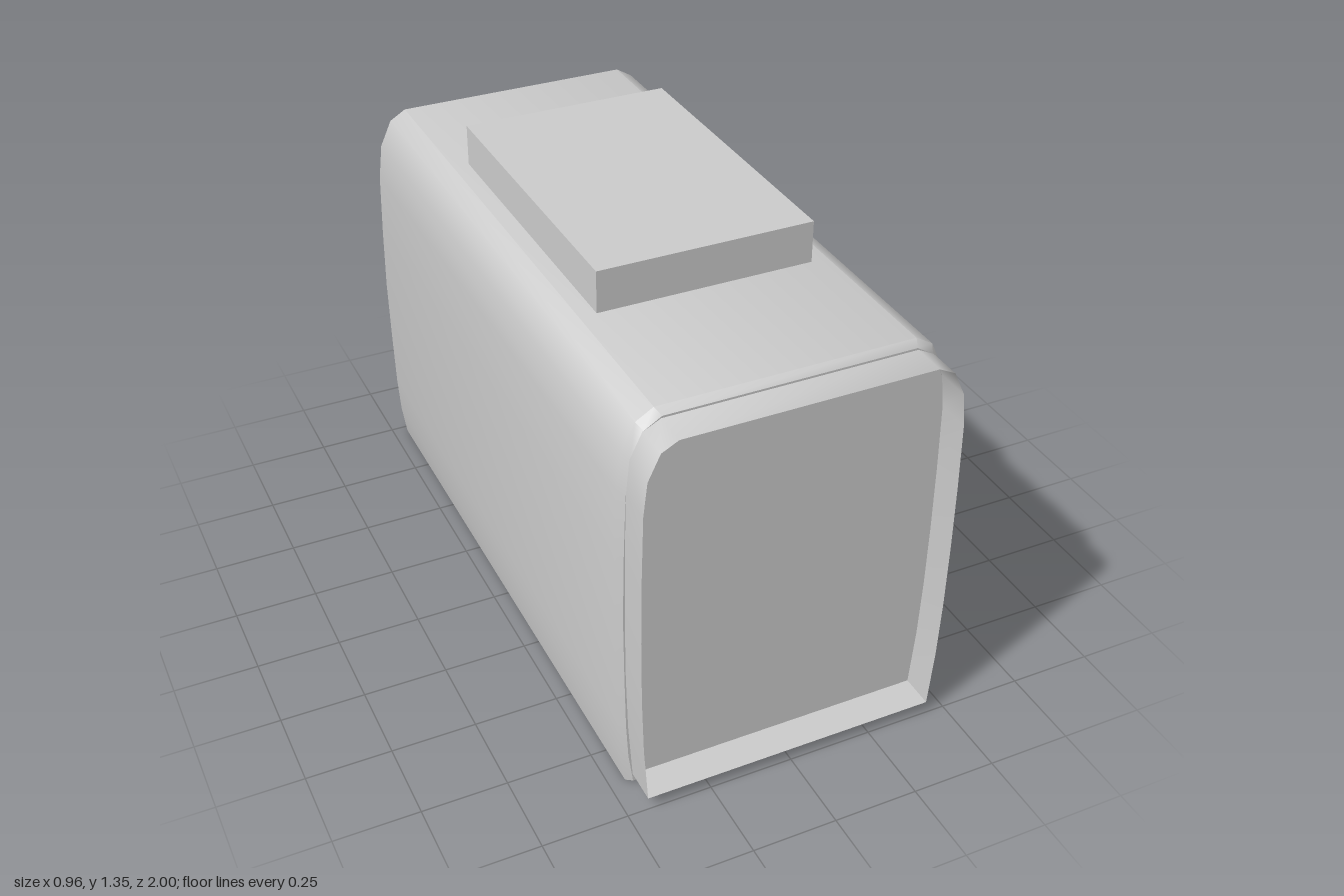
import * as THREE from 'three';
import { toCreasedNormals } from 'three/addons/utils/BufferGeometryUtils.js';

// Right half of each cross-section, bottom to top, as [half width, height]
const bodyHalf = [[0.452, 0], [0.466, 0.1], [0.473, 0.22], [0.477, 0.4], [0.48, 0.6], [0.477, 0.8],
  [0.471, 1.0], [0.457, 1.11], [0.42, 1.19], [0.37, 1.22]];
const rimHalf = [[0.44, 0.04], [0.453, 0.22], [0.459, 0.4], [0.461, 0.6], [0.46, 0.8],
  [0.456, 1.0], [0.445, 1.1], [0.41, 1.175], [0.362, 1.2]];

// Mirror a half section into a closed loop, anticlockwise from the front
const loop = half => [...half, ...half.map(([x, y]) => [-x, y]).reverse()];

// Shrink a section a little towards its middle
const inset = (half, d) => half.map(([x, y]) =>
  [x * (1 - d / 0.48), 0.61 + (y - 0.61) * (1 - d / 0.61)]);

// Skin a row of [section, z] rings from back to front, with optional flat ends
function loft(rings, capped) {
  const pos = [], idx = [], n = rings[0][0].length;
  rings.forEach(([pts, z]) => pts.forEach(([x, y]) => pos.push(x, y, z)));
  for (let r = 0; r < rings.length - 1; r++) {
    for (let i = 0; i < n; i++) {
      const a = r * n + i, b = r * n + (i + 1) % n;
      idx.push(a, b, b + n, a, b + n, a + n);
    }
  }
  if (capped) {
    const f = (rings.length - 1) * n;
    for (let i = 1; i < n - 1; i++) idx.push(0, i + 1, i, f, f + i, f + i + 1);
  }
  const g = new THREE.BufferGeometry();
  g.setAttribute('position', new THREE.Float32BufferAttribute(pos, 3));
  g.setIndex(idx);
  return toCreasedNormals(g, 0.7);
}

export function createModel() {
  const group = new THREE.Group();
  const grey = new THREE.MeshStandardMaterial({ color: 0xcccccc, side: THREE.DoubleSide });
  grey.name = 'plain grey';
  const add = (name, geometry) => {
    const mesh = new THREE.Mesh(geometry, grey);
    mesh.name = name;
    group.add(mesh);
    return mesh;
  };

  // Long rounded casing with slightly bevelled ends
  const full = loop(bodyHalf), end = loop(inset(bodyHalf, 0.014));
  add('casing', loft([[end, -1], [full, -0.975], [full, 0.875], [end, 0.9]], true));

  // Thin open collar around the recessed front panel
  const rim = loop(rimHalf);
  add('frontCollar', loft([[rim, 0.895], [rim, 1]], false));

  // Flat block on the roof
  add('roofBlock', new THREE.BoxGeometry(0.64, 0.13, 0.95)).position.set(0, 1.28, -0.053);

  return group;
}
